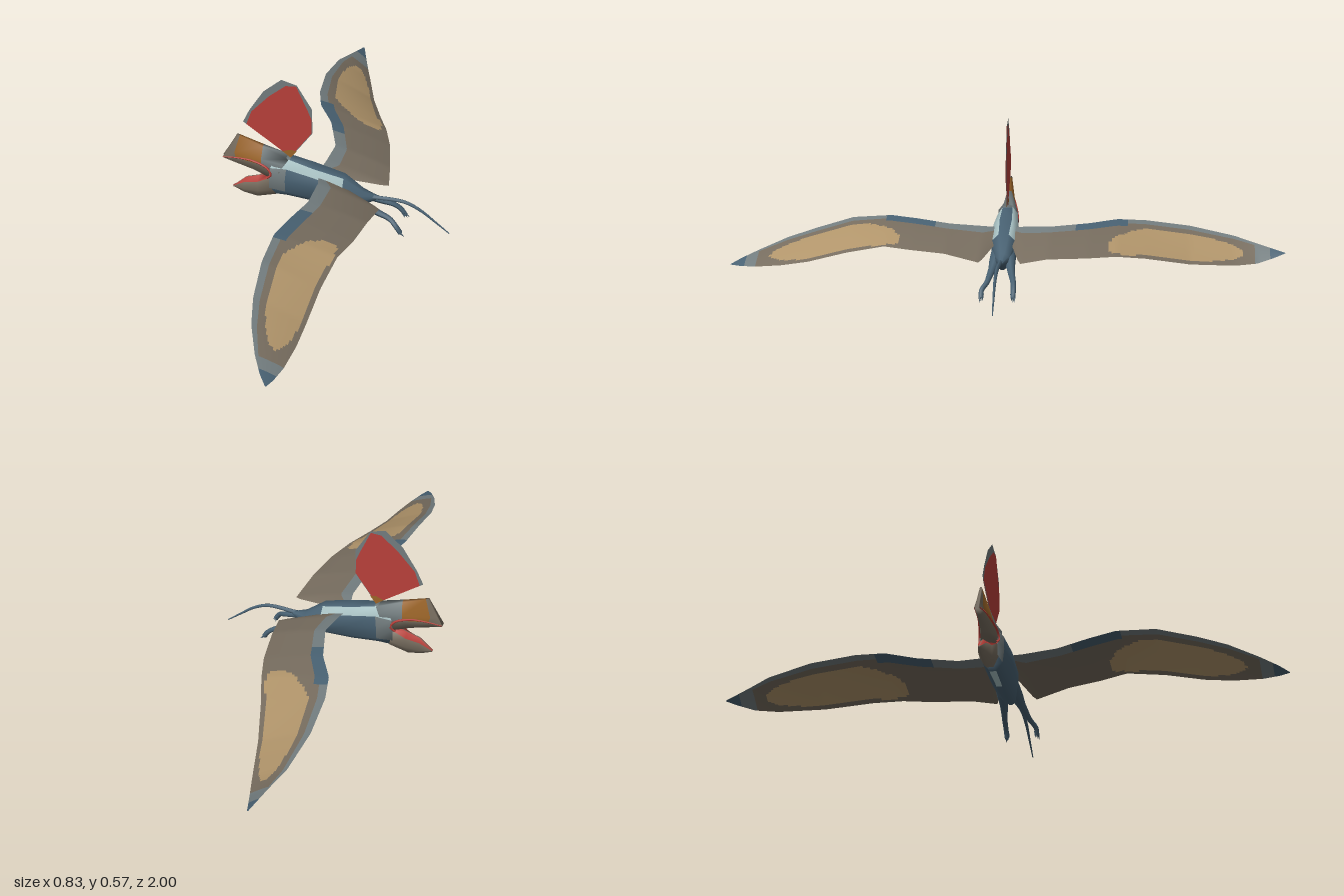
import * as THREE from 'three';

const mat = (name, color) => {
  const m = new THREE.MeshStandardMaterial({ color, side: THREE.DoubleSide });
  m.name = name;
  return m;
};
const palette = [
  mat('slate blue', 0x486172), mat('grey brown', 0x766c5e), mat('tan', 0xb0946a),
  mat('blue grey', 0x727c7e), mat('pale blue', 0xa9c2c4), mat('orange', 0x9a6428), mat('red', 0xb8403a),
];
const [BLUE, BROWN, TAN, GREY, PALE, ORANGE, RED] = palette.keys();

// Skin over rows of points; pick(i, j) gives the colour of each cell.
function skin(name, rows, pick, closed = false) {
  const n = rows[0].length, faces = palette.map(() => []);
  for (let i = 0; i < rows.length - 1; i++) {
    for (let j = 0; j < (closed ? n : n - 1); j++) {
      const a = i * n + j, c = i * n + (j + 1) % n;
      faces[pick(i, j)].push(a, c, a + n, c, c + n, a + n);
    }
  }
  if (closed) {
    const last = (rows.length - 1) * n;
    for (let j = 1; j < n - 1; j++) {
      faces[pick(0, 1)].push(0, j + 1, j);
      faces[pick(rows.length - 2, 1)].push(last, last + j, last + j + 1);
    }
  }
  const geo = new THREE.BufferGeometry();
  geo.setAttribute('position', new THREE.Float32BufferAttribute(rows.flat(2), 3));
  geo.setIndex(faces.flat());
  let start = 0;
  faces.forEach((f, k) => {
    if (f.length) geo.addGroup(start, f.length, k);
    start += f.length;
  });
  geo.computeVertexNormals();
  const mesh = new THREE.Mesh(geo, palette);
  mesh.name = name;
  return mesh;
}

// Closed ring from a half section [x, y, halfWidth], listed from top to bottom.
const ring = half => [...half, ...half.slice().reverse().map(([x, y, w]) => [x, y, -w])];
const lofted = (name, halves, colour) => skin(name, halves.map(ring), (i, j) => {
  const m = halves[0].length;
  return colour(i, j < m ? j : 2 * m - 2 - j);
}, true);

// Tapering tube along a path, radius read from a list.
function limb(name, points, radii, material, sides = 8) {
  const curve = new THREE.CatmullRomCurve3(points.map(p => new THREE.Vector3(...p)));
  const steps = (points.length - 1) * 4;
  const geo = new THREE.TubeGeometry(curve, steps, 1, sides);
  const pos = geo.attributes.position, v = new THREE.Vector3();
  for (let k = 0; k < pos.count; k++) {
    const t = Math.floor(k / (sides + 1)) / steps;
    const c = curve.getPointAt(t), f = t * (radii.length - 1), i = Math.min(Math.floor(f), radii.length - 2);
    v.fromBufferAttribute(pos, k).sub(c).multiplyScalar(THREE.MathUtils.lerp(radii[i], radii[i + 1], f - i)).add(c);
    pos.setXYZ(k, v.x, v.y, v.z);
  }
  geo.computeVertexNormals();
  const mesh = new THREE.Mesh(geo, palette[material]);
  mesh.name = name;
  return mesh;
}

// Flat plate in the plane of symmetry.
function plate(name, pts, material, z) {
  const mesh = new THREE.Mesh(new THREE.ShapeGeometry(new THREE.Shape(pts.map(p => new THREE.Vector2(...p)))), palette[material]);
  mesh.position.z = z;
  mesh.name = name;
  return mesh;
}

// Wing membrane from stations [span, leadX, leadY, trailX, trailY].
function wing(name, stations, side) {
  const spans = 90, chords = 24, rows = [], span = [];
  for (let i = 0; i <= spans; i++) {
    const z = THREE.MathUtils.lerp(stations[0][0], stations.at(-1)[0], i / spans);
    let k = 0;
    while (k < stations.length - 2 && stations[k + 1][0] < z) k++;
    const a = stations[k], b = stations[k + 1], t = (z - a[0]) / (b[0] - a[0]);
    const [, lx, ly, tx, ty] = a.map((s, q) => s + (b[q] - s) * t);
    span.push(z);
    rows.push(Array.from({ length: chords + 1 }, (_, j) => {
      const v = j / chords;
      return [lx + (tx - lx) * v, ly + (ty - ly) * v + 0.1 * (tx - lx) * v * (1 - v), z * side];
    }));
  }
  const pick = (i, j) => {
    const z = span[i], v = (j + 0.5) / chords;
    const mid = 0.58 + Math.max(0, 0.5 - z) * 1.3;
    if (z > 0.94) return BLUE;
    if (Math.abs((z - 0.605) / 0.24) ** 2.5 + Math.abs((v - mid) / 0.35) ** 2.5 < 1) return TAN;
    if (z > 0.25 && z < 0.43 && v < 0.2) return BLUE;
    if (z > 0.89 || (z > 0.43 && v < 0.13) || (z < 0.25 && v < 0.22)) return GREY;
    return BROWN;
  };
  // Reverse the chord on one side so both wings face upward.
  if (side < 0) {
    rows.forEach(r => r.reverse());
    return skin(name, rows, (i, j) => pick(i, chords - 1 - j));
  }
  return skin(name, rows.map(r => r.slice()), pick);
}

export function createModel() {
  const model = new THREE.Group();
  model.name = 'flyingReptile';

  // Neck and body
  model.add(lofted('body', [
    [[-.205, .262, .012], [-.235, .215, .033], [-.24, .175, .033], [-.24, .125, .03], [-.23, .09, .01]],
    [[-.165, .249, .018], [-.175, .22, .037], [-.18, .17, .04], [-.18, .12, .034], [-.18, .091, .012]],
    [[-.08, .225, .022], [-.08, .203, .045], [-.08, .16, .048], [-.08, .105, .034], [-.08, .077, .01]],
    [[.03, .195, .018], [.03, .17, .043], [.03, .13, .043], [.03, .09, .03], [.03, .07, .008]],
    [[.1, .142, .008], [.1, .132, .024], [.1, .115, .027], [.1, .095, .02], [.1, .082, .005]],
    [[.15, .125, .002], [.15, .122, .005], [.15, .118, .006], [.15, .114, .005], [.15, .111, .002]],
  ], (i, j) => (j === 0 || j === 4 + 4) && i < 3 ? PALE : i === 0 && j < 3 ? GREY : i === 1 && j === 4 ? PALE : BLUE));

  // Upper beak with its tall ridge
  model.add(lofted('upperBeak', [
    [[-.36, .325, .003], [-.395, .255, .007], [-.415, .224, .009], [-.413, .218, .005]],
    [[-.35, .321, .004], [-.37, .25, .011], [-.365, .23, .014], [-.385, .21, .007]],
    [[-.265, .288, .008], [-.27, .24, .022], [-.27, .218, .024], [-.3, .186, .012]],
    [[-.17, .25, .018], [-.185, .235, .034], [-.2, .2, .036], [-.235, .17, .03]],
  ], (i, j) => j >= 2 || i === 0 ? BROWN : i === 1 ? ORANGE : GREY));

  // Lower beak with red mouth lining
  model.add(lofted('lowerBeak', [
    [[-.38, .097, .001], [-.381, .097, .004], [-.38, .094, .004], [-.378, .092, .001]],
    [[-.33, .143, .002], [-.335, .127, .014], [-.34, .095, .014], [-.34, .075, .003]],
    [[-.285, .156, .002], [-.285, .14, .022], [-.285, .1, .022], [-.29, .065, .004]],
    [[-.245, .17, .002], [-.24, .167, .029], [-.23, .12, .031], [-.22, .089, .012]],
  ], (i, j) => j === 0 ? RED : BROWN));

  // Mouth lines, legs and feet on both sides
  for (const s of [1, -1]) {
    const tag = s > 0 ? 'left' : 'right';
    model.add(limb(tag + 'MouthLine', [[-.412, .224, .009 * s], [-.365, .23, .014 * s], [-.3, .229, .021 * s],
      [-.245, .21, .031 * s], [-.232, .185, .034 * s], [-.248, .168, .029 * s]], [.002, .003, .004, .004], RED, 6));
    const foot = s > 0 ? .062 : .048;
    model.add(limb(tag + 'Leg', [[.04, .13, .02 * s], [.1, .105, .028 * s], [.16, .08, .038 * s], [.205, .063, .046 * s],
      [.232, .042, foot * s], [.246, .02, foot * s]], [.024, .021, .014, .011, .009, .009], BLUE));
    for (const d of [-1, 0, 1]) {
      const toe = new THREE.Mesh(new THREE.ConeGeometry(.005, .026, 5), palette[BLUE]);
      toe.position.set(.248 + .005 * d, .018 - .002 * d, (foot + .005 * d) * s);
      toe.rotation.z = Math.PI + .5 + .3 * d;
      toe.name = tag + 'Toe';
      model.add(toe);
    }
  }

  // Tail
  model.add(limb('tail', [[.08, .12, 0], [.14, .12, .003], [.25, .118, .008], [.31, .09, .01], [.36, .05, .01], [.415, .004, .01]],
    [.014, .008, .007, .006, .004, .002], BLUE, 6));

  // Fan crest: grey rim, red panels and orange base
  model.add(plate('crestRim', [[-.165, .25], [-.337, .38], [-.313, .432], [-.26, .517], [-.195, .573], [-.14, .556],
    [-.086, .462], [-.086, .362]], GREY, 0));
  for (const z of [.0015, -.0015]) {
    model.add(plate('crestPanel', [[-.167, .252], [-.325, .372], [-.305, .428], [-.24, .5], [-.18, .55], [-.142, .552],
      [-.1, .452], [-.088, .42], [-.088, .363]], RED, z));
    model.add(plate('crestBase', [[-.165, .25], [-.195, .274], [-.165, .284], [-.143, .28]], ORANGE, z * 2));
  }

  // Wings, each in its own stroke pose
  model.add(wing('leftWing', [[.025, -.06, .2, .03, .165], [.075, -.05, .205, .172, .125], [.2, -.06, .21, .15, .15],
    [.32, -.1, .218, .125, .155], [.42, -.13, .222, .09, .158], [.56, -.14, .21, .06, .125], [.7, -.137, .167, .042, .085],
    [.8, -.12, .135, .03, .067], [.9, -.085, .095, .01, .055], [.96, -.055, .07, -.01, .052], [.995, -.03, .053, -.027, .052]], 1));
  model.add(wing('rightWing', [[.025, -.06, .2, .03, .165], [.065, -.05, .205, .18, .125], [.16, -.035, .21, .167, .14],
    [.3, -.08, .215, .142, .14], [.4, -.14, .218, .11, .14], [.5, -.165, .21, .07, .125], [.66, -.175, .19, .015, .093],
    [.82, -.155, .16, -.03, .08], [.9, -.125, .14, -.055, .083], [.96, -.105, .125, -.075, .1], [1, -.092, .115, -.088, .114]], -1));
  return model;
}
